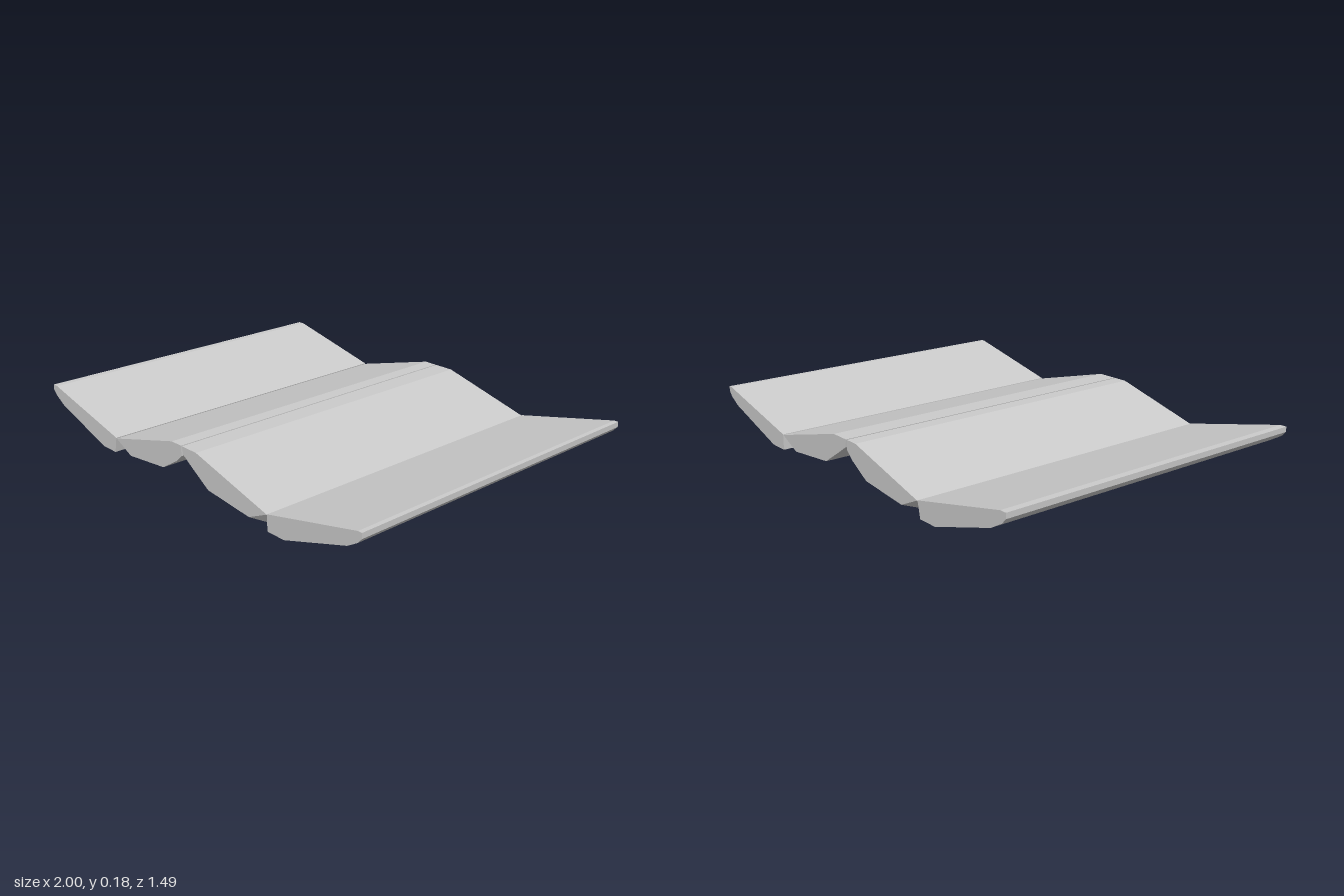
import * as THREE from 'three';

const HALF = 0.745; // half depth of every panel

// Each profile starts at the top of the valley edge, followed by its lower corner.
// chamfer: how far that lower corner is cut back at both ends.
const PANELS = [
  { name: 'rightOuterPanel', chamfer: 0, profile: [[-0.495, 0.07], [-0.51, 0], [-0.6, 0], [-0.92, 0.1],
    [-0.98, 0.135], [-1, 0.157], [-1, 0.18], [-0.97, 0.18]] },
  { name: 'rightInnerPanel', chamfer: 0.05, profile: [[-0.492, 0.068], [-0.485, 0.02], [-0.39, 0.02], [-0.15, 0.045],
    [-0.05, 0.105], [-0.018, 0.135], [-0.018, 0.18], [-0.08, 0.18]] },
  { name: 'leftInnerPanel', chamfer: 0.03, profile: [[0.505, 0.068], [0.5, 0.02], [0.4, 0.02], [0.15, 0.045],
    [0.04, 0.115], [-0.005, 0.145], [-0.012, 0.18], [0.08, 0.18]] },
  { name: 'leftOuterPanel', chamfer: 0, profile: [[0.507, 0.07], [0.507, 0], [0.6, 0], [0.93, 0.105],
    [0.98, 0.135], [1, 0.157], [1, 0.18], [0.98, 0.18]] },
];

// Convex prism along z with fan caps, so the second corner can be cut back
function panelGeometry(profile, chamfer) {
  const pts = profile.map(([x, y]) => new THREE.Vector2(x, y));
  const flip = THREE.ShapeUtils.area(pts) < 0;
  const n = pts.length;
  const pos = [], index = [];
  for (const s of [1, -1]) {
    pts.forEach((p, i) => pos.push(p.x, p.y, s * (HALF - (i === 1 ? chamfer : 0))));
  }
  const tri = (a, b, c) => (flip ? index.push(a, c, b) : index.push(a, b, c));
  for (let i = 1; i < n - 1; i++) {
    tri(0, i, i + 1);
    tri(n, n + i + 1, n + i);
  }
  for (let i = 0; i < n; i++) {
    const j = (i + 1) % n;
    tri(i, n + i, n + j);
    tri(i, n + j, j);
  }
  const indexed = new THREE.BufferGeometry();
  indexed.setAttribute('position', new THREE.Float32BufferAttribute(pos, 3));
  indexed.setIndex(index);
  const geometry = indexed.toNonIndexed();
  geometry.computeVertexNormals();
  return geometry;
}

export function createModel() {
  const group = new THREE.Group();
  group.name = 'foldedPanels';
  const material = new THREE.MeshStandardMaterial({ color: 0xcccccc, flatShading: true });
  for (const { name, profile, chamfer } of PANELS) {
    const mesh = new THREE.Mesh(panelGeometry(profile, chamfer), material);
    mesh.name = name;
    group.add(mesh);
  }
  return group;
}
